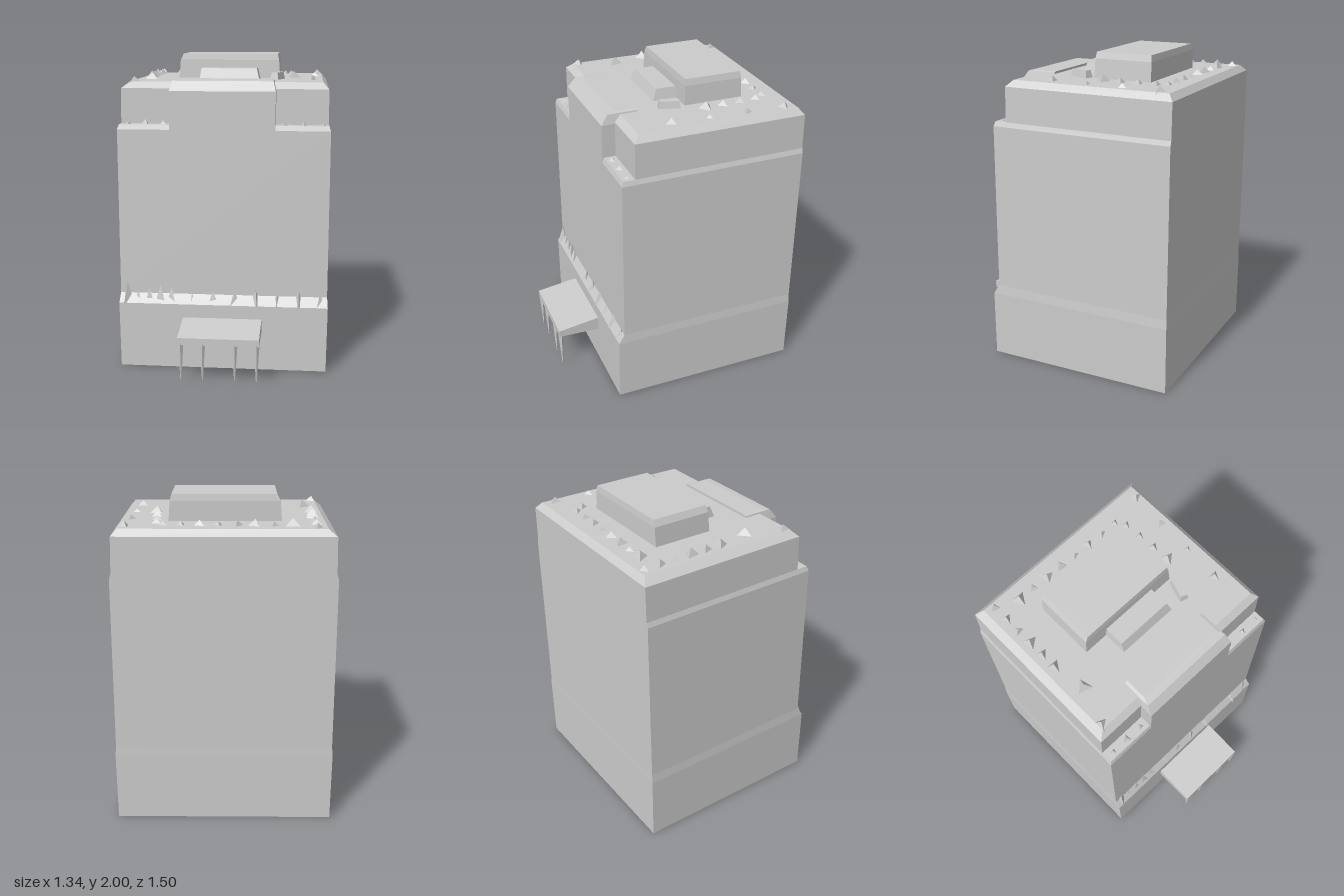
import * as THREE from 'three';

const material = new THREE.MeshStandardMaterial({ color: 0xcccccc, flatShading: true, side: THREE.DoubleSide });

function add(group, name, geometry, x = 0, y = 0, z = 0) {
  const mesh = new THREE.Mesh(geometry, material);
  mesh.name = name;
  mesh.position.set(x, y, z);
  group.add(mesh);
  return mesh;
}

// Closed block through rectangular sections [y, x0, x1, z0, z1], bottom to top
function loft(sections) {
  const pos = [], idx = [];
  for (const [y, x0, x1, z0, z1] of sections) pos.push(x0, y, z1, x1, y, z1, x1, y, z0, x0, y, z0);
  for (let s = 0; s < sections.length - 1; s++) {
    for (let i = 0; i < 4; i++) {
      const a = s * 4 + i, b = s * 4 + (i + 1) % 4;
      idx.push(a, b, b + 4, a, b + 4, a + 4);
    }
  }
  const t = (sections.length - 1) * 4;
  idx.push(0, 2, 1, 0, 3, 2, t, t + 1, t + 2, t, t + 2, t + 3);
  const g = new THREE.BufferGeometry();
  g.setAttribute('position', new THREE.Float32BufferAttribute(pos, 3));
  g.setIndex(idx);
  g.computeVertexNormals();
  return g;
}

// Small seeded generator for the irregular debris
function seeded(seed) {
  return () => (seed = (seed * 16807) % 2147483647) / 2147483647;
}

export function createModel() {
  const model = new THREE.Group();
  model.name = 'building';
  const rnd = seeded(77);

  // Plinth, with a sloped ledge towards the front
  add(model, 'plinth', loft([
    [0.005, -0.665, 0.665, -0.75, 0.475],
    [0.43, -0.67, 0.67, -0.75, 0.475],
    [0.49, -0.665, 0.665, -0.748, 0.437],
  ]));

  // Main storeys
  add(model, 'mainBody', loft([
    [0.48, -0.665, 0.665, -0.748, 0.437],
    [1.55, -0.665, 0.665, -0.748, 0.435],
    [1.58, -0.655, 0.655, -0.748, 0.425],
  ]));

  // Upper storey, set back at the front corners, with a bevelled roof edge
  add(model, 'upperStorey', loft([
    [1.56, -0.655, 0.655, -0.748, 0.35],
    [1.8, -0.65, 0.65, -0.748, 0.35],
    [1.84, -0.6, 0.615, -0.715, 0.31],
  ]));

  // Central front bay rising to the roof between the corners
  add(model, 'centralBay', loft([
    [1.54, -0.335, 0.325, 0.2, 0.435],
    [1.79, -0.335, 0.325, 0.2, 0.435],
    [1.85, -0.32, 0.31, 0.2, 0.39],
    [1.855, -0.3, 0.29, 0.2, 0.34],
  ]));

  // Rooftop plant room and the lower box before it
  add(model, 'roofHouse', loft([
    [1.83, -0.345, 0.335, -0.475, -0.095],
    [1.96, -0.335, 0.325, -0.475, -0.1],
    [2.0, -0.315, 0.315, -0.47, -0.105],
  ]));
  add(model, 'roofBox', loft([
    [1.83, -0.19, 0.205, -0.12, 0.06],
    [1.91, -0.18, 0.185, -0.12, 0.03],
  ]));
  const vent = add(model, 'roofVent', loft([
    [1.83, -0.03, 0.03, -0.07, 0.07],
    [1.885, -0.02, 0.02, -0.06, 0.06],
  ]), 0.32, 0, 0);
  vent.rotation.y = -0.3;

  // Entrance canopy: wedge slab, wider where it meets the wall
  const slab = new THREE.Shape([[0.46, 0.25], [0.75, 0.26], [0.75, 0.305], [0.46, 0.345]]
    .map(([z, y]) => new THREE.Vector2(z, y)));
  const canopy = new THREE.ExtrudeGeometry(slab, { depth: 0.505, bevelEnabled: false });
  canopy.rotateY(-Math.PI / 2);
  add(model, 'entranceCanopy', canopy, 0.25, 0, 0);

  // Tapered canopy posts
  for (const x of [-0.235, -0.1, 0.1, 0.235]) {
    add(model, 'canopyPost', new THREE.CylinderGeometry(0.018, 0.003, 0.24, 4), x, 0.15, 0.735);
  }

  // Irregular pyramids: [x, z] start, [x, z] end, count, base height, radius, height
  const rows = [
    [-0.54, -0.68, -0.54, -0.16, 6, 1.83, 0.055, 0.055],
    [-0.4, -0.62, 0.36, -0.6, 8, 1.83, 0.05, 0.045],
    [0.4, -0.54, 0.42, -0.2, 4, 1.83, 0.055, 0.05],
    [0.58, -0.64, 0.54, 0.08, 4, 1.83, 0.045, 0.04],
    [-0.58, 0.28, -0.5, 0.05, 2, 1.83, 0.06, 0.05],
    [-0.62, 0.445, -0.33, 0.445, 5, 0.43, 0.035, 0.11],
    [-0.2, 0.445, 0.62, 0.445, 7, 0.43, 0.035, 0.08],
    [-0.6, 0.39, -0.38, 0.39, 3, 1.56, 0.04, 0.045],
    [0.38, 0.39, 0.62, 0.39, 3, 1.56, 0.04, 0.04],
  ];
  for (const [x0, z0, x1, z1, n, y, r, h] of rows) {
    for (let i = 0; i < n; i++) {
      const t = i / (n - 1), s = 0.75 + 0.5 * rnd();
      const shard = add(model, 'shard', new THREE.ConeGeometry(r * s, h * s, 3),
        x0 + (x1 - x0) * t, y + h * s / 2, z0 + (z1 - z0) * t);
      shard.rotation.y = rnd() * 6.28;
    }
  }
  return model;
}
